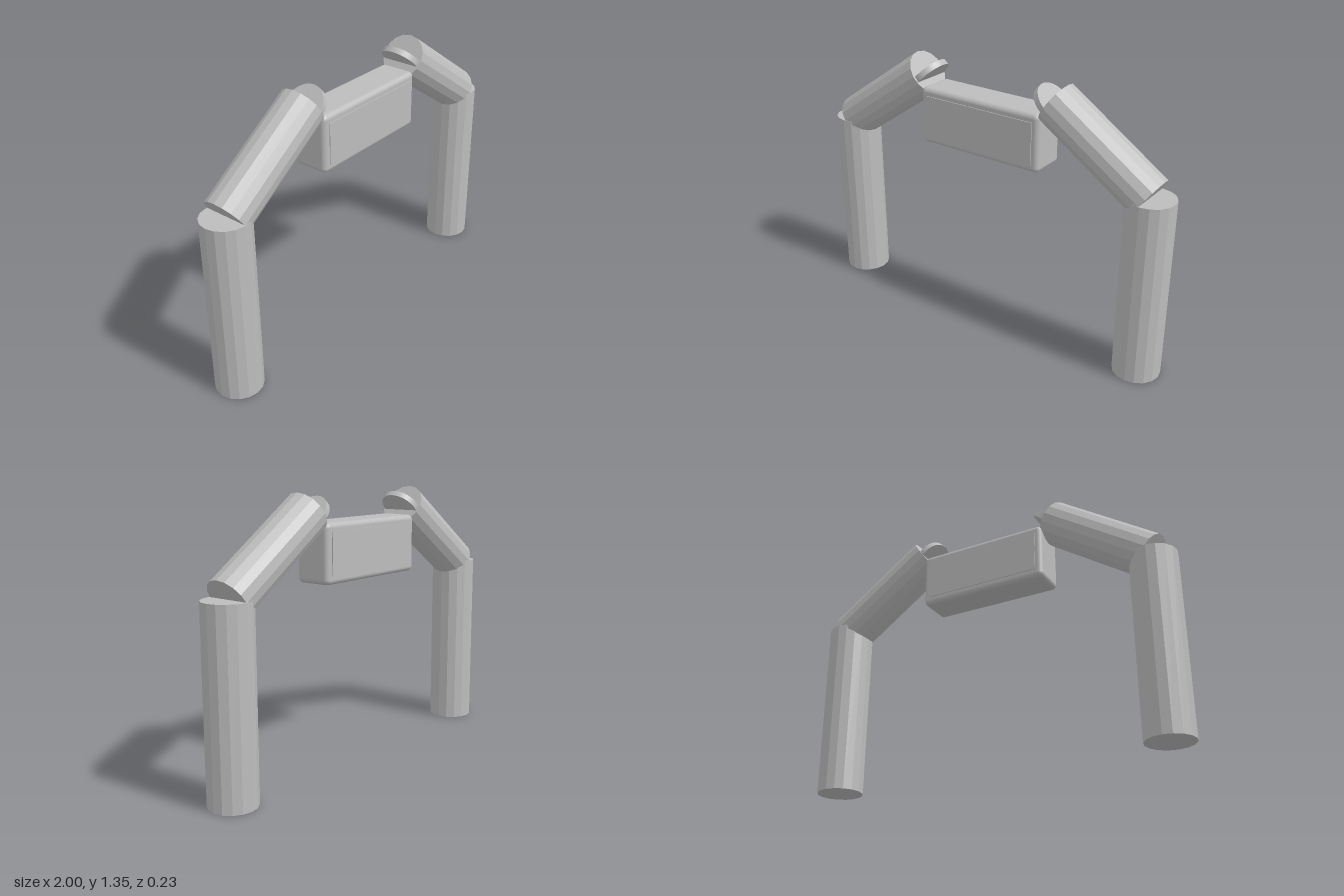
import * as THREE from 'three';
import { RoundedBoxGeometry } from 'three/addons/geometries/RoundedBoxGeometry.js';

export function createModel() {
  const group = new THREE.Group();
  const grey = new THREE.MeshStandardMaterial({ color: 0xbcbcbc, flatShading: true });
  grey.name = 'grey';
  const smoothGrey = grey.clone();
  smoothGrey.flatShading = false;

  const add = (name, geometry, x, y, z = 0, tilt = 0, material = grey) => {
    const mesh = new THREE.Mesh(geometry, material);
    mesh.name = name;
    mesh.position.set(x, y, z);
    mesh.rotation.z = tilt;
    group.add(mesh);
  };

  // Central block with a thin raised panel on the front and back
  add('centreBlock', new RoundedBoxGeometry(0.69, 0.29, 0.19, 4, 0.025), 0, 1.065, 0, 0, smoothGrey);
  const panel = new THREE.BoxGeometry(0.62, 0.21, 0.008);
  add('frontPanel', panel, 0, 1.065, 0.095);
  add('backPanel', panel, 0, 1.065, -0.095);

  // Upright legs, sloping arms and tilted joint discs, mirrored
  const leg = new THREE.CylinderGeometry(0.117, 0.117, 0.92, 16);
  const arm = new THREE.CylinderGeometry(0.112, 0.112, 0.605, 16);
  const disc = new THREE.CylinderGeometry(0.1, 0.1, 0.03, 32);
  const slope = Math.atan2(0.34, 0.5);
  for (const [side, s] of [['left', 1], ['right', -1]]) {
    add(side + 'Leg', leg, s * 0.883, 0.46);
    add(side + 'Arm', arm, s * 0.627, 1.088, 0, s * (Math.PI / 2 - slope));
    add(side + 'JointDisc', disc, s * 0.361, 1.249, 0, -s * Math.PI / 4, smoothGrey);
  }
  return group;
}
